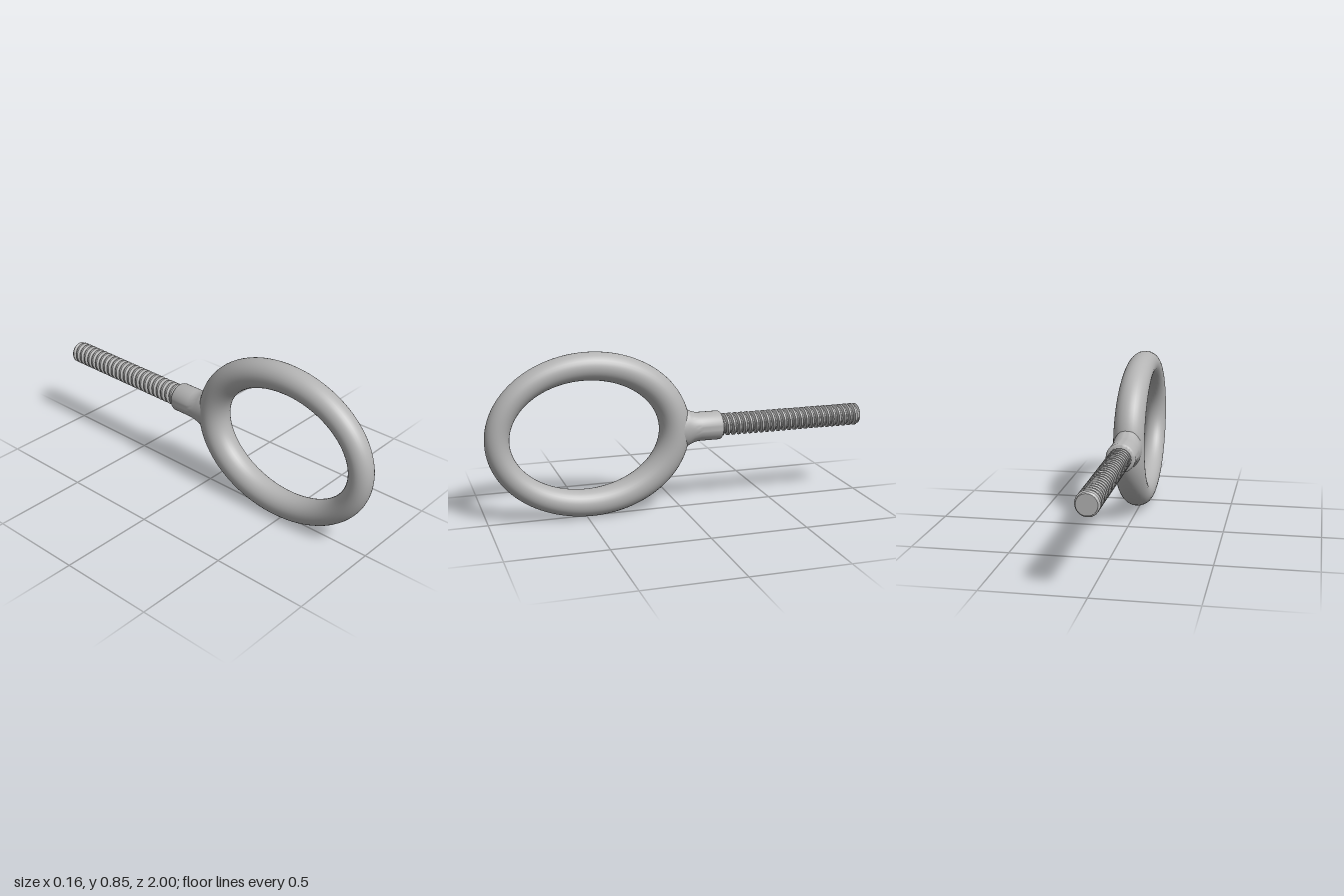
import * as THREE from 'three';
import { mergeVertices, toCreasedNormals } from 'three/addons/utils/BufferGeometryUtils.js';

const AXIS_Y = 0.425; // height of the shank axis

// Oval eye: a torus reshaped to an ellipse, thicker towards the shank
function eyeGeometry() {
  const g = new THREE.TorusGeometry(1, 0.1, 32, 96);
  const p = g.attributes.position, uv = g.attributes.uv;
  const a = 0.455, b = 0.353;
  for (let i = 0; i < p.count; i++) {
    const u = uv.getX(i) * Math.PI * 2, v = uv.getY(i) * Math.PI * 2;
    const c = Math.cos(u), s = Math.sin(u);
    const r = 0.0705 - 0.009 * c;
    const n = new THREE.Vector2(b * c, a * s).normalize();
    const out = r * Math.cos(v);
    p.setXYZ(i, -r * Math.sin(v) * 1.02, AXIS_Y + b * s + out * n.y, 0.485 + a * c + out * n.x);
  }
  g.deleteAttribute('uv');
  g.deleteAttribute('normal');
  const welded = mergeVertices(g, 1e-5);
  welded.computeVertexNormals();
  return welded;
}

// Plain collar, flared vertically where it blends into the eye
function collarGeometry() {
  const profile = [[0.075, -0.03], [0.075, 0.03], [0.075, 0.045], [0.075, 0.06], [0.075, 0.08],
    [0.075, 0.1], [0.075, 0.205], [0.072, 0.213], [0.066, 0.217], [0, 0.217]];
  const g = new THREE.LatheGeometry(profile.map(([r, y]) => new THREE.Vector2(r, y)), 48);
  g.rotateX(-Math.PI / 2);
  const p = g.attributes.position;
  for (let i = 0; i < p.count; i++) {
    const t = THREE.MathUtils.clamp((p.getZ(i) + 0.1) / 0.07, 0, 1);
    p.setY(i, p.getY(i) * (1 + 0.35 * t * t));
  }
  return toCreasedNormals(g, 0.7);
}

// Right-handed screw thread: a ridge profile swept along a helix and trimmed at both ends
function threadGeometry() {
  const zStart = -0.2, zEnd = -1, pitch = 0.0315, segs = 40;
  const root = 0.046, crest = 0.0585, tip = 0.05;
  const ridge = [[0, root], [0.2, root], [0.42, crest], [0.75, crest]];
  const turns = Math.ceil((zStart - zEnd) / pitch) + 2;
  const pos = [], index = [];
  const rows = turns * ridge.length;
  for (let i = 0; i < rows; i++) {
    const [f, radius] = ridge[i % ridge.length];
    const along = Math.floor(i / ridge.length) + f;
    for (let j = 0; j <= segs; j++) {
      const turn = j / segs, phi = turn * Math.PI * 2;
      const z = THREE.MathUtils.clamp(zStart + pitch * (turn - along), zEnd, zStart);
      const r = z === zEnd ? tip : Math.min(radius, tip + (z - zEnd));
      pos.push(r * Math.cos(phi), r * Math.sin(phi), z);
      if (i < rows - 1 && j < segs) {
        const a = i * (segs + 1) + j, c = a + segs + 1;
        index.push(a, c, a + 1, a + 1, c, c + 1);
      }
    }
  }
  const g = new THREE.BufferGeometry();
  g.setAttribute('position', new THREE.Float32BufferAttribute(pos, 3));
  g.setIndex(index);
  return toCreasedNormals(g, 0.6);
}

export function createModel() {
  const steel = new THREE.MeshStandardMaterial({ color: 0xb4b4b4 });
  steel.name = 'steel grey';
  const group = new THREE.Group();
  group.name = 'eyeBolt';
  const add = (name, geometry, y = 0, z = 0) => {
    const mesh = new THREE.Mesh(geometry, steel);
    mesh.name = name;
    mesh.position.set(0, y, z);
    group.add(mesh);
    return mesh;
  };
  add('eye', eyeGeometry());
  add('collar', collarGeometry(), AXIS_Y);
  add('thread', threadGeometry(), AXIS_Y);
  // Flat end of the screw
  add('endFace', new THREE.CircleGeometry(0.05, 40).rotateY(Math.PI), AXIS_Y, -1);
  return group;
}
